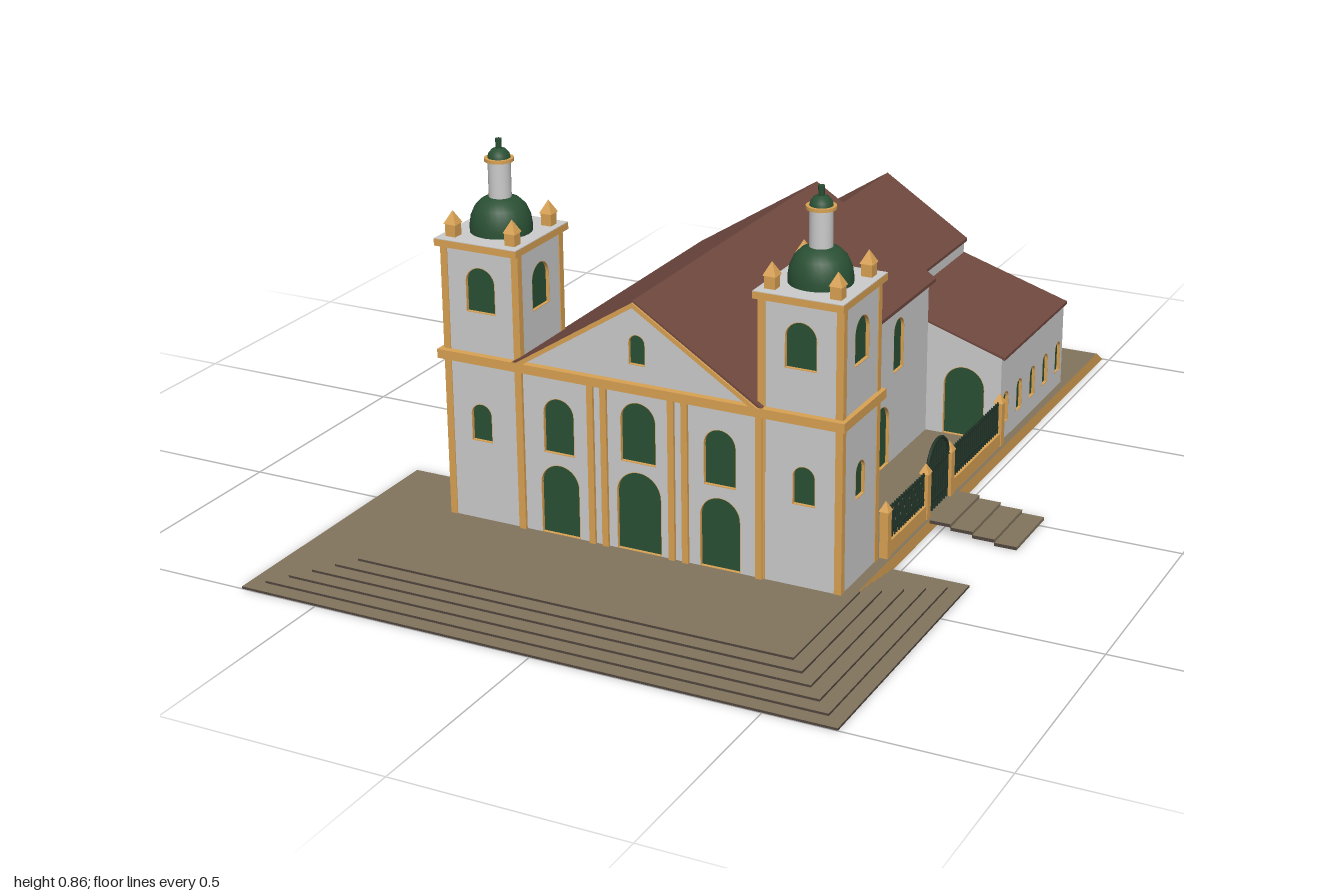
import * as THREE from 'three';

const mat = (color) => new THREE.MeshStandardMaterial({ color });
const GREY = mat(0xcccccc), ORANGE = mat(0xd9a254), GREEN = mat(0x2a5034);
const ROOF = mat(0x70493f), TAN = mat(0x82745d), RISER = mat(0x51463e), IRON = mat(0x22352a);
const BASE = 0.03, WALL = 0.012, FOOT = 0.008;

function add(parent, name, geo, material, x = 0, y = 0, z = 0) {
  const m = new THREE.Mesh(geo, material);
  m.name = name;
  m.position.set(x, y, z);
  parent.add(m);
  return m;
}

// box given by its min and max corners
function box(parent, name, material, x0, x1, y0, y1, z0, z1) {
  return add(parent, name, new THREE.BoxGeometry(x1 - x0, y1 - y0, z1 - z0), material,
    (x0 + x1) / 2, (y0 + y1) / 2, (z0 + z1) / 2);
}

const rect = (x0, x1, y0, y1) => [[x0, y0], [x1, y0], [x1, y1], [x0, y1]];
const points = (pts) => pts.map((p) => new THREE.Vector2(p[0], p[1]));
const shapeOf = (pts) => new THREE.Shape(points(pts));
const extrude = (shape, depth) =>
  new THREE.ExtrudeGeometry(shape, { depth, bevelEnabled: false, curveSegments: 10 });

// round-headed outline: centre x, sill y, width, total height, inset by d
function arch(x, y, w, h, d = 0, Kind = THREE.Shape) {
  const r = w / 2 - d, s = new Kind();
  s.moveTo(x - r, y + d);
  s.lineTo(x + r, y + d);
  s.lineTo(x + r, y + h - w / 2);
  s.absarc(x, y + h - w / 2, r, 0, Math.PI, false);
  s.closePath();
  return s;
}

// wall with recessed arched openings; its outer face is local z = 0
function wall(parent, name, pts, openings, x, z, turn) {
  const g = new THREE.Group();
  g.name = name;
  g.position.set(x, 0, z);
  g.rotation.y = turn;
  const s = shapeOf(pts);
  for (const o of openings) {
    s.holes.push(arch(...o, 0, THREE.Path));
    const frame = arch(...o);
    frame.holes.push(arch(...o, 0.0012, THREE.Path));
    add(g, 'openingFrame', extrude(frame, WALL), ORANGE, 0, 0, -WALL);
    add(g, 'shutter', extrude(arch(...o, 0.0006), 0.004), GREEN, 0, 0, -0.0115);
  }
  add(g, 'wallPanel', extrude(s, WALL), GREY, 0, 0, -WALL);
  parent.add(g);
}

// profile in the x-y plane swept from z0 to z1
const sweep = (parent, name, material, pts, z0, z1) =>
  add(parent, name, extrude(shapeOf(pts), z1 - z0), material, 0, 0, z0);

// roof of two equal slopes
const chevron = (w, eave, ridge, t) =>
  [[-w, eave - t], [0, ridge - t], [w, eave - t], [w, eave], [0, ridge], [-w, eave]];

// square block with pyramid top
function post(parent, name, x, y, z, w, h, tip) {
  box(parent, name, ORANGE, x - w / 2, x + w / 2, y, y + h, z - w / 2, z + w / 2);
  const cone = new THREE.ConeGeometry(w * 0.85, tip, 4).rotateY(Math.PI / 4).toNonIndexed();
  cone.computeVertexNormals();
  add(parent, name + 'Cap', cone, ORANGE, x, y + h + tip / 2, z);
}

function tower(side) {
  const g = new THREE.Group(), H = 0.091;
  g.name = side > 0 ? 'leftTower' : 'rightTower';
  g.position.set(side * 0.366, 0, 0.457);
  const top = [0, 0.5, 0.07, 0.1];
  for (let i = 0; i < 4; i++) {
    const a = i * Math.PI / 2;
    const low = i === 0 ? [[side * 0.008, 0.21, 0.05, 0.085]]
      : i === (side > 0 ? 1 : 3) ? [[0, 0.21, 0.046, 0.08]] : [];
    wall(g, 'towerWall', rect(-H, H, FOOT, 0.65), [top, ...low], Math.sin(a) * H, Math.cos(a) * H, a);
  }
  // corner strips and cornices
  for (const sx of [-1, 1]) for (const sz of [-1, 1]) {
    add(g, 'cornerStrip', new THREE.BoxGeometry(0.016, 0.62, 0.016), ORANGE, sx * 0.085, 0.34, sz * 0.085);
    post(g, 'pinnacle', sx * 0.071, 0.655, sz * 0.074, 0.024, 0.028, 0.028);
  }
  box(g, 'middleCornice', ORANGE, -0.102, 0.102, 0.39, 0.41, -0.101, 0.107);
  box(g, 'topCornice', ORANGE, -0.098, 0.098, 0.64, 0.655, -0.108, 0.108);
  box(g, 'terrace', GREY, -0.0975, 0.0975, 0.65, 0.6565, -0.1075, 0.1075);
  // dome, lantern and finial
  const lathe = (pts) => new THREE.LatheGeometry(points(pts), 28);
  add(g, 'dome', lathe([[0.066, 0.655], [0.066, 0.67], [0.063, 0.69], [0.054, 0.71],
    [0.04, 0.724], [0.022, 0.731], [0, 0.732]]), GREEN);
  add(g, 'lantern', new THREE.CylinderGeometry(0.024, 0.024, 0.09, 20), GREY, 0, 0.765, 0);
  add(g, 'lanternRing', new THREE.CylinderGeometry(0.031, 0.031, 0.007, 20), ORANGE, 0, 0.811, 0);
  add(g, 'lanternCap', lathe([[0.024, 0.814], [0.022, 0.823], [0.015, 0.832], [0, 0.836]]), GREEN);
  add(g, 'finial', new THREE.CylinderGeometry(0.007, 0.006, 0.024, 10), GREEN, 0, 0.843, 0);
  return g;
}

// railing, gate and steps along one flank
function courtyard(side) {
  const g = new THREE.Group(), x = side * 0.467, mid = 0.0625, r = 0.058;
  g.name = side > 0 ? 'leftCourtyard' : 'rightCourtyard';
  for (const z of [0.345, 0.13, -0.005, -0.31]) post(g, 'fencePost', x, BASE, z, 0.019, 0.105, 0.022);
  for (const [z0, z1] of [[0.13, 0.345], [-0.31, -0.005]]) {
    box(g, 'fenceFooting', ORANGE, x - 0.007, x + 0.007, BASE, 0.062, z0, z1);
    for (const y of [0.073, 0.129]) box(g, 'fenceRail', IRON, x - 0.002, x + 0.002, y, y + 0.005, z0, z1);
    const n = Math.round((z1 - z0) / 0.012);
    for (let i = 1; i < n; i++) {
      const z = z0 + (z1 - z0) * i / n;
      box(g, 'fenceBar', IRON, x - 0.0017, x + 0.0017, 0.06, 0.138, z - 0.0017, z + 0.0017);
    }
  }
  add(g, 'gateArch', new THREE.TorusGeometry(r, 0.004, 6, 20, Math.PI).rotateY(Math.PI / 2), IRON, x, 0.13, mid);
  for (let i = -4; i <= 4; i++) {
    const d = i * 0.014, top = 0.13 + Math.sqrt(r * r - d * d);
    box(g, 'gateBar', IRON, x - 0.002, x + 0.002, BASE, top, mid + d - 0.002, mid + d + 0.002);
  }
  for (const y of [0.05, 0.125]) box(g, 'gateRail', IRON, x - 0.002, x + 0.002, y, y + 0.006, mid - r, mid + r);
  // stair with a stepped underside
  const inner = side > 0 ? 0.482 : 0.488, stair = [];
  for (let i = 0; i < 4; i++) {
    const x0 = 0.68 - i * 0.05, x1 = i < 3 ? x0 - 0.05 : inner;
    stair.push([x0, i * 0.0075], [x0, (i + 1) * 0.0075], [x1, (i + 1) * 0.0075]);
  }
  for (let i = 3; i >= 0; i--) {
    const x0 = i < 3 ? 0.63 - i * 0.05 : inner;
    stair.push([x0, i * 0.0075], [0.68 - i * 0.05 - (i > 0 ? 0.001 : 0), i * 0.0075]);
  }
  stair.pop();
  const steps = extrude(shapeOf(stair.map(([sx, sy]) => [side * sx, sy])), 0.168);
  add(g, 'sideSteps', steps, [RISER, TAN], 0, 0, -0.03);
  return g;
}

export function createModel() {
  const root = new THREE.Group();
  root.name = 'church';

  // platform with sloping rear edge
  const plinth = extrude(shapeOf([[-1, 0], [0.54, 0], [0.54, BASE], [-0.955, BASE]]), 0.974);
  add(root, 'platform', plinth.rotateY(-Math.PI / 2), [ORANGE, TAN], 0.482);

  // forecourt of stacked rings, hollow below
  for (let i = 0; i < 6; i++) {
    const terrace = (d) => rect(-0.68 + d, 0.655 - d, -1 + d, -0.345 - d);
    const s = shapeOf(terrace(i * 0.034));
    if (i < 5) s.holes.push(new THREE.Path(points(terrace((i + 1) * 0.034 + 0.001))));
    const ring = extrude(s, 0.005).rotateX(-Math.PI / 2);
    add(root, 'forecourtStep', ring, [TAN, RISER], 0, i * 0.005 + 0.0004, 0);
  }

  // front with doors, windows and gable
  wall(root, 'facade', [[-0.28, FOOT], [0.28, FOOT], [0.28, 0.405], [0, 0.582], [-0.28, 0.405]], [
    [0, BASE, 0.104, 0.18], [-0.187, BASE, 0.092, 0.16], [0.187, BASE, 0.092, 0.16],
    [0, 0.23, 0.082, 0.135], [-0.187, 0.215, 0.073, 0.125], [0.187, 0.215, 0.073, 0.125],
    [0, 0.447, 0.038, 0.066]], 0, 0.548, 0);
  for (const s of [-1, 1]) for (const x of [0.078, 0.109, 0.277])
    box(root, 'pilaster', ORANGE, s * x - 0.007, s * x + 0.007, BASE, 0.39, 0.54, 0.555);
  box(root, 'facadeCornice', ORANGE, -0.28, 0.28, 0.39, 0.41, 0.53, 0.564);
  sweep(root, 'gableTrim', ORANGE, chevron(0.28, 0.409, 0.588, 0.011), 0.54, 0.566);

  // nave
  for (const s of [-1, 1]) {
    wall(root, 'naveWall', s > 0 ? rect(-0.38, 0.32, FOOT, 0.4) : rect(-0.32, 0.38, FOOT, 0.4), [
      ...[0.268, 0.062, -0.15].map((z) => [-s * z, 0.238, 0.058, 0.125]),
      ...[0.165, -0.06].map((z) => [-s * z, BASE, 0.085, 0.15])], s * 0.283, 0, s * Math.PI / 2);
    box(root, 'naveCornice', ORANGE, s * 0.285 - 0.006, s * 0.285 + 0.006, 0.39, 0.4, -0.32, 0.37);
  }
  wall(root, 'naveBack', [[-0.283, FOOT], [0.283, FOOT], [0.283, 0.4], [0, 0.582], [-0.283, 0.4]], [],
    0, -0.318, Math.PI);
  sweep(root, 'naveRoof', ROOF, chevron(0.299, 0.403, 0.592, 0.008), -0.323, 0.562);

  // rear block: raised middle with a lower aisle on each side
  const section = [[-0.465, FOOT], [0.465, FOOT], [0.465, 0.235], [0.205, 0.32], [0.205, 0.357],
    [0, 0.488], [-0.205, 0.357], [-0.205, 0.32], [-0.465, 0.235]];
  wall(root, 'rearWall', section, [-0.115, 0, 0.115].map((x) => [x, 0.305, 0.05, 0.075]), 0, -0.735, Math.PI);
  wall(root, 'rearBlockFront', section, [-0.375, 0.375].map((x) => [x, BASE, 0.1, 0.17]), 0, -0.32, 0);
  for (const s of [-1, 1]) {
    const span = (y0, y1) => (s > 0 ? rect(0.32, 0.735, y0, y1) : rect(-0.735, -0.32, y0, y1));
    wall(root, 'aisleWall', span(FOOT, 0.235),
      [-0.354, -0.442, -0.53, -0.617, -0.704].map((z) => [-s * z, 0.068, 0.036, 0.077]),
      s * 0.465, 0, s * Math.PI / 2);
    wall(root, 'upperWall', span(0.29, 0.36), [], s * 0.205, 0, s * Math.PI / 2);
    const eave = s > 0 ? 0.472 : -0.488;
    sweep(root, 'aisleRoof', ROOF,
      [[s * 0.2, 0.318], [eave, 0.232], [eave, 0.239], [s * 0.2, 0.325]], -0.738, -0.32);
  }
  sweep(root, 'rearRoof', ROOF, chevron(0.212, 0.36, 0.497, 0.007), -0.738, -0.32);

  for (const s of [-1, 1]) root.add(tower(s), courtyard(s));
  return root;
}
